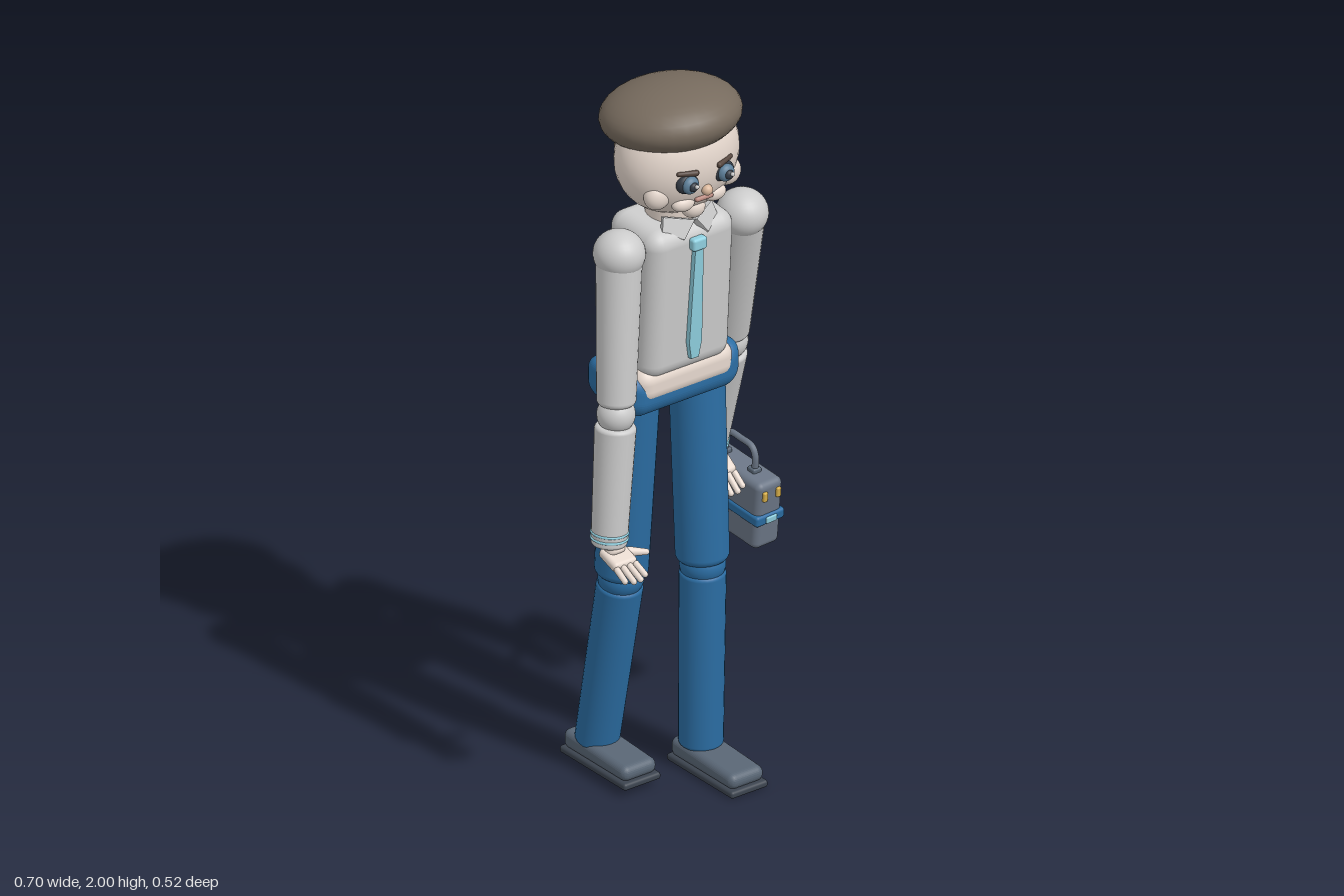
import * as THREE from 'three';
import { RoundedBoxGeometry } from 'three/addons/geometries/RoundedBoxGeometry.js';

const mat = (color) => new THREE.MeshStandardMaterial({ color });
const M = {
  shirt: mat(0xcccccc), skin: mat(0xe6d8ce), hair: mat(0x776b5e), trousers: mat(0x2b6da3),
  tie: mat(0x8fcfdf), shoe: mat(0x596675), sole: mat(0x3c444f), suitcase: mat(0x6b7686),
  dark: mat(0x333a44), iris: mat(0x5d7f99), white: mat(0xf0f0f0), lip: mat(0xb98a80),
  brow: mat(0x54443c), nose: mat(0xd9b79c), brass: mat(0xd9b04a),
};
const V = (x, y, z) => new THREE.Vector3(x, y, z);
const CX = -0.04; // body centre line

export function createModel() {
  const model = new THREE.Group();

  function add(name, geometry, material, pos = [0, 0, 0], rot = [0, 0, 0], parent = model) {
    const m = new THREE.Mesh(geometry, material);
    m.name = name;
    m.position.set(...pos);
    m.rotation.set(...rot);
    parent.add(m);
    return m;
  }
  function ball(name, r, material, pos, scale = [1, 1, 1], parent = model) {
    const m = add(name, new THREE.SphereGeometry(r, 32, 20), material, pos, [0, 0, 0], parent);
    m.scale.set(...scale);
    return m;
  }
  const box = (w, h, d, r) => new RoundedBoxGeometry(w, h, d, 4, r);

  // Tapered tube with rounded rims, running from a (radius ra) to b (radius rb)
  function limb(name, a, b, ra, rb, material, soft = 0.3, parent = model) {
    const L = a.distanceTo(b), pts = [new THREE.Vector2(0, 0)];
    for (let i = 0; i <= 5; i++) {
      const t = (i / 5) * Math.PI / 2, e = soft * ra;
      pts.push(new THREE.Vector2(ra - e + e * Math.sin(t), e - e * Math.cos(t)));
    }
    for (let i = 0; i <= 5; i++) {
      const t = (i / 5) * Math.PI / 2, e = soft * rb;
      pts.push(new THREE.Vector2(rb - e + e * Math.cos(t), L - e + e * Math.sin(t)));
    }
    pts.push(new THREE.Vector2(0, L));
    const m = add(name, new THREE.LatheGeometry(pts, 28), material, a.toArray(), [0, 0, 0], parent);
    m.quaternion.setFromUnitVectors(V(0, 1, 0), b.clone().sub(a).normalize());
    return m;
  }

  // Torso, hem and neck
  const torso = box(0.28, 0.42, 0.215, 0.05);
  const tp = torso.attributes.position;
  for (let i = 0; i < tp.count; i++) tp.setX(i, tp.getX(i) * (0.96 + 0.15 * tp.getY(i)));
  torso.computeVertexNormals();
  add('torso', box(0.275, 0.43, 0.205, 0.045), M.shirt, [CX, 1.42, 0.05], [0.06, 0, 0]);
  add('shirtHem', box(0.31, 0.1, 0.2, 0.04), M.skin, [CX, 1.185, 0.035]);
  limb('neck', V(CX, 1.6, 0.06), V(CX, 1.7, 0.065), 0.07, 0.07, M.skin, 0.1);

  // Collar wings, mirrored about the centre line
  for (const s of [-1, 1]) {
    const wing = new THREE.Shape([[0, 0], [s * 0.035, -0.04], [s * 0.085, -0.01], [s * 0.075, 0.025]]
      .map(([x, y]) => new THREE.Vector2(x, y)));
    add('collarWing', new THREE.ExtrudeGeometry(wing, { depth: 0.015, bevelSize: 0.003, bevelThickness: 0.003, bevelSegments: 2 }),
      M.shirt, [CX, 1.64, 0.145], [-0.35, s * 0.35, 0]);
  }

  // Necktie
  add('tieKnot', box(0.045, 0.035, 0.025, 0.008), M.tie, [CX, 1.583, 0.17]);
  const tieShape = new THREE.Shape([[-0.011, 0], [0.011, 0], [0.018, -0.27], [0.01, -0.315], [-0.01, -0.315], [-0.018, -0.27]]
    .map(([x, y]) => new THREE.Vector2(x, y)));
  add('tie', new THREE.ExtrudeGeometry(tieShape, { depth: 0.01, bevelSize: 0.003, bevelThickness: 0.003, bevelSegments: 2 }),
    M.tie, [CX, 1.565, 0.164], [0.06, 0, 0]);

  // Pelvis: soft box whose top edge rises toward the hips
  const pelvis = new RoundedBoxGeometry(0.37, 0.11, 0.21, 8, 0.05);
  const pp = pelvis.attributes.position;
  for (let i = 0; i < pp.count; i++) {
    const x = pp.getX(i) / 0.185, y = pp.getY(i);
    pp.setY(i, y + (y > 0 ? 0.045 * x * x : 0.02 * x * x));
  }
  pelvis.computeVertexNormals();
  add('pelvis', pelvis, M.trousers, [CX, 1.14, 0.025]);

  // Legs and shoes
  function leg(side, hip, knee, ankle, shoeZ, floor) {
    const g = new THREE.Group();
    g.name = side + 'Leg';
    model.add(g);
    const kneeTop = knee.clone().lerp(hip, 0.02), kneeLow = knee.clone().lerp(ankle, 0.03);
    limb('thigh', hip, kneeTop, 0.073, 0.07, M.trousers, 0.3, g);
    ball('knee', 0.06, M.trousers, knee.toArray(), [1, 0.9, 1], g);
    limb('shin', kneeLow, ankle, 0.061, 0.058, M.trousers, 0.2, g);
    const shoe = new THREE.Group();
    shoe.name = side + 'Shoe';
    shoe.position.set(ankle.x, floor, shoeZ);
    g.add(shoe);
    add('sole', box(0.118, 0.02, 0.275, 0.008), M.sole, [0, 0.01, 0], [0, 0, 0], shoe);
    const upper = box(0.11, 0.055, 0.26, 0.02), p = upper.attributes.position;
    for (let i = 0; i < p.count; i++) // slope down to the toe
      if (p.getY(i) > 0) p.setY(i, p.getY(i) - 0.05 * (p.getZ(i) + 0.13));
    upper.computeVertexNormals();
    add('upper', upper, M.shoe, [0, 0.044, 0], [0, 0, 0], shoe);
  }
  leg('left', V(0.07, 1.14, 0.02), V(0.065, 0.58, 0.052), V(0.065, 0.06, 0.045), 0.113, 0.0);
  leg('right', V(-0.14, 1.14, 0.025), V(-0.145, 0.58, -0.015), V(-0.145, 0.07, -0.115), -0.06, 0.018);

  // Arms with cuffs and hands; dir is the finger direction, s the side of the thumb
  function arm(side, shoulder, elbow, wrist, palm, dir, s) {
    const g = new THREE.Group();
    g.name = side + 'Arm';
    model.add(g);
    ball('shoulder', 0.067, M.shirt, shoulder.toArray(), [1, 0.95, 1.03], g);
    limb('upperArm', shoulder, elbow.clone().lerp(shoulder, 0.06), 0.06, 0.051, M.shirt, 0.3, g);
    ball('elbow', 0.05, M.shirt, elbow.toArray(), [1, 1, 1], g);
    limb('forearm', elbow.clone().lerp(wrist, 0.08), wrist, 0.054, 0.047, M.shirt, 0.2, g);
    const axis = wrist.clone().sub(elbow).normalize();
    for (const k of [0.02, 0.036]) {
      const ring = add('cuffBand', new THREE.TorusGeometry(0.047, 0.0035, 8, 32), M.tie,
        wrist.clone().addScaledVector(axis, -k).toArray(), [0, 0, 0], g);
      ring.quaternion.setFromUnitVectors(V(0, 0, 1), axis);
    }
    limb('wrist', wrist.clone().addScaledVector(axis, -0.02), palm, 0.03, 0.028, M.skin, 0.3, g);
    const hand = new THREE.Group();
    hand.name = side + 'Hand';
    hand.position.copy(palm);
    hand.quaternion.setFromUnitVectors(V(0, 0, 1), dir.clone().normalize());
    g.add(hand);
    add('palm', box(0.076, 0.028, 0.075, 0.012), M.skin, [0, 0, 0.01], [0, 0, 0], hand);
    for (let i = 0; i < 4; i++) {
      const x = -0.029 + i * 0.0193, len = i === 0 || i === 3 ? 0.055 : 0.065;
      limb('finger', V(x, 0, 0.04), V(x * 1.12, -0.006, 0.04 + len), 0.009, 0.008, M.skin, 0.9, hand);
    }
    limb('thumb', V(s * 0.028, 0, 0), V(s * 0.09, -0.004, 0.025), 0.013, 0.008, M.skin, 0.9, hand);
  }
  arm('left', V(0.155, 1.58, 0.1), V(0.2, 1.15, -0.015), V(0.21, 0.8, -0.112),
    V(0.205, 0.775, -0.075), V(0, -0.55, 0.8), -1);
  arm('right', V(-0.235, 1.585, 0.095), V(-0.272, 1.15, 0.13), V(-0.302, 0.79, 0.14),
    V(-0.3, 0.77, 0.165), V(0, -0.35, 1), 1);

  // Head, hair and the rolled hair at the nape
  const head = new THREE.Group();
  head.name = 'head';
  head.position.set(CX, 0, 0);
  model.add(head);
  ball('skull', 1, M.skin, [0, 1.81, 0.08], [0.175, 0.16, 0.132], head);
  const hair = ball('hair', 1, M.hair, [0, 1.911, 0.055], [0.187, 0.088, 0.179], head);
  hair.rotation.x = -0.12;
  limb('napeRoll', V(-0.085, 1.79, -0.045), V(0.085, 1.79, -0.045), 0.033, 0.033, M.hair, 0.4, head);

  // Face
  for (const s of [-1, 1]) {
    ball('eyeRim', 0.033, M.dark, [s * 0.057, 1.785, 0.198], [1, 0.85, 0.6], head);
    ball('iris', 0.024, M.iris, [s * 0.057, 1.785, 0.212], [1, 1, 0.7], head);
    ball('pupil', 0.013, M.dark, [s * 0.057, 1.785, 0.225], [1, 1, 0.8], head);
    ball('eyeGlint', 0.006, M.white, [s * 0.057 + 0.003, 1.789, 0.236], [1, 1, 1], head);
    limb('eyebrow', V(s * 0.03, 1.812, 0.212), V(s * 0.088, 1.818, 0.195), 0.008, 0.006, M.brow, 0.8, head);
    ball('cheek', 0.038, M.skin, [s * 0.112, 1.745, 0.145], [1, 1, 0.8], head);
    ball('jowl', 0.028, M.skin, [s * 0.05, 1.715, 0.172], [1.2, 0.8, 0.8], head);
  }
  ball('nose', 0.015, M.nose, [0, 1.752, 0.207], [1, 1, 1], head);
  limb('mouth', V(-0.028, 1.725, 0.194), V(0.028, 1.725, 0.194), 0.007, 0.007, M.lip, 0.9, head);
  ball('chin', 0.033, M.skin, [0, 1.68, 0.148], [1, 0.9, 0.9], head);

  // Briefcase with strap, latches and carrying handle
  const bag = new THREE.Group();
  bag.name = 'briefcase';
  bag.position.set(0.293, 0.643, -0.113);
  bag.rotation.set(0.1, 0.06, 0);
  model.add(bag);
  add('caseBody', box(0.085, 0.195, 0.275, 0.018), M.suitcase, [0, 0, 0], [0, 0, 0], bag);
  add('strap', box(0.095, 0.03, 0.288, 0.008), M.trousers, [0, -0.008, 0], [0, 0, 0], bag);
  add('strapBuckle', box(0.035, 0.018, 0.01, 0.003), M.tie, [0, -0.008, 0.144], [0, 0, 0], bag);
  for (const s of [-1, 1])
    add('latch', box(0.014, 0.028, 0.014, 0.004), M.brass, [s * 0.022, 0.062, 0.138], [0, 0, 0], bag);
  const path = new THREE.CatmullRomCurve3([V(0, 0.09, -0.045), V(0, 0.14, -0.045), V(0, 0.162, -0.03),
    V(0, 0.165, 0.012), V(0, 0.162, 0.054), V(0, 0.14, 0.069), V(0, 0.09, 0.069)]);
  add('caseHandle', new THREE.TubeGeometry(path, 48, 0.009, 12), M.suitcase, [0, 0, 0], [0, 0, 0], bag);
  for (const z of [-0.045, 0.069])
    add('handleMount', box(0.028, 0.018, 0.028, 0.005), M.shoe, [0, 0.1, z], [0, 0, 0], bag);

  return model;
}
